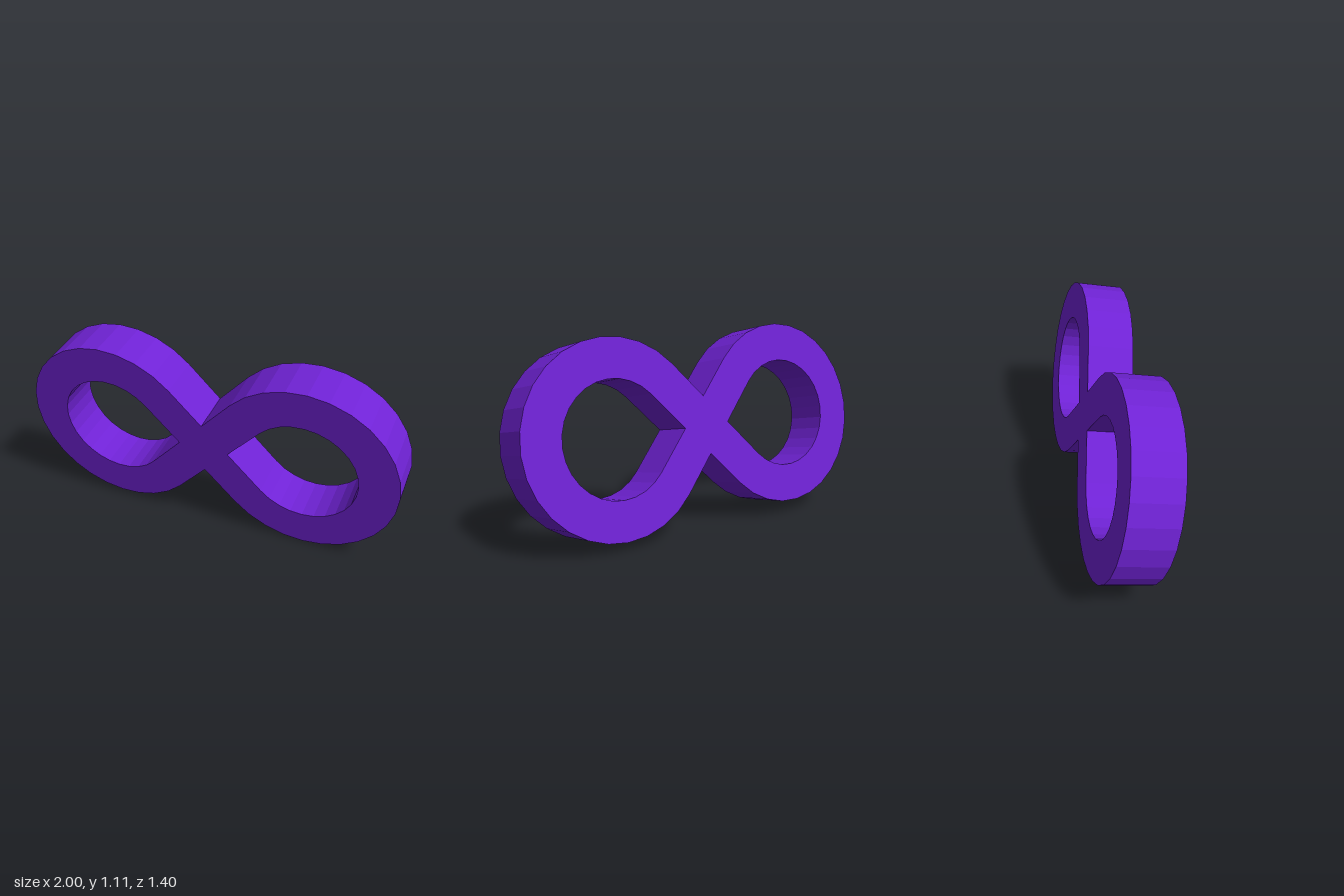
import * as THREE from 'three';

const LOBE = 0.568;   // lobe centre distance
const R = 0.42;       // band centreline radius
const HALF = 0.108;   // half band width
const DEPTH = 0.26;
const SEGMENTS = 22;

// Points of a lobe arc, running between its two tangent points; side = 1 or -1
function lobeArc(radius, side) {
  const tilt = Math.asin(R / LOBE);
  const end = Math.PI / 2 + tilt;
  const points = [];
  for (let i = 0; i <= SEGMENTS; i++) {
    const a = -end + (2 * end * i) / SEGMENTS;
    points.push(new THREE.Vector2(
      side * (LOBE + radius * Math.cos(a)), side * radius * Math.sin(a)));
  }
  return points;
}

export function createModel() {
  const group = new THREE.Group();
  group.name = 'infinityLoop';
  const purple = new THREE.MeshStandardMaterial({ color: 0x6f22d4 });
  purple.name = 'purple';

  // Outer outline: two arcs joined by straight bands that meet at the notches
  const tilt = Math.asin(R / LOBE);
  const notch = HALF / Math.cos(tilt);
  const tip = HALF / Math.sin(tilt);
  const shape = new THREE.Shape([
    ...lobeArc(R + HALF, 1), new THREE.Vector2(0, notch),
    ...lobeArc(R + HALF, -1), new THREE.Vector2(0, -notch),
  ]);

  // Teardrop hole in each lobe
  for (const side of [1, -1]) {
    shape.holes.push(new THREE.Path([
      ...lobeArc(R - HALF, side), new THREE.Vector2(side * tip, 0),
    ]));
  }

  const geometry = new THREE.ExtrudeGeometry(shape, { depth: DEPTH, bevelEnabled: false });
  geometry.translate(0, 0, -DEPTH / 2);

  // Turn the band diagonally and lean it slightly forward
  const n = new THREE.Vector3(-0.52, -0.19, 0.83).normalize();
  const u = new THREE.Vector3(0.85, -0.024, 0.527);
  u.addScaledVector(n, -u.dot(n)).normalize();
  const v = new THREE.Vector3().crossVectors(n, u);
  geometry.applyMatrix4(new THREE.Matrix4().makeBasis(u, v, n));

  // Stand on the ground
  geometry.computeBoundingBox();
  geometry.translate(0, -geometry.boundingBox.min.y, 0);

  const band = new THREE.Mesh(geometry, purple);
  band.name = 'figureEightBand';
  group.add(band);
  return group;
}
